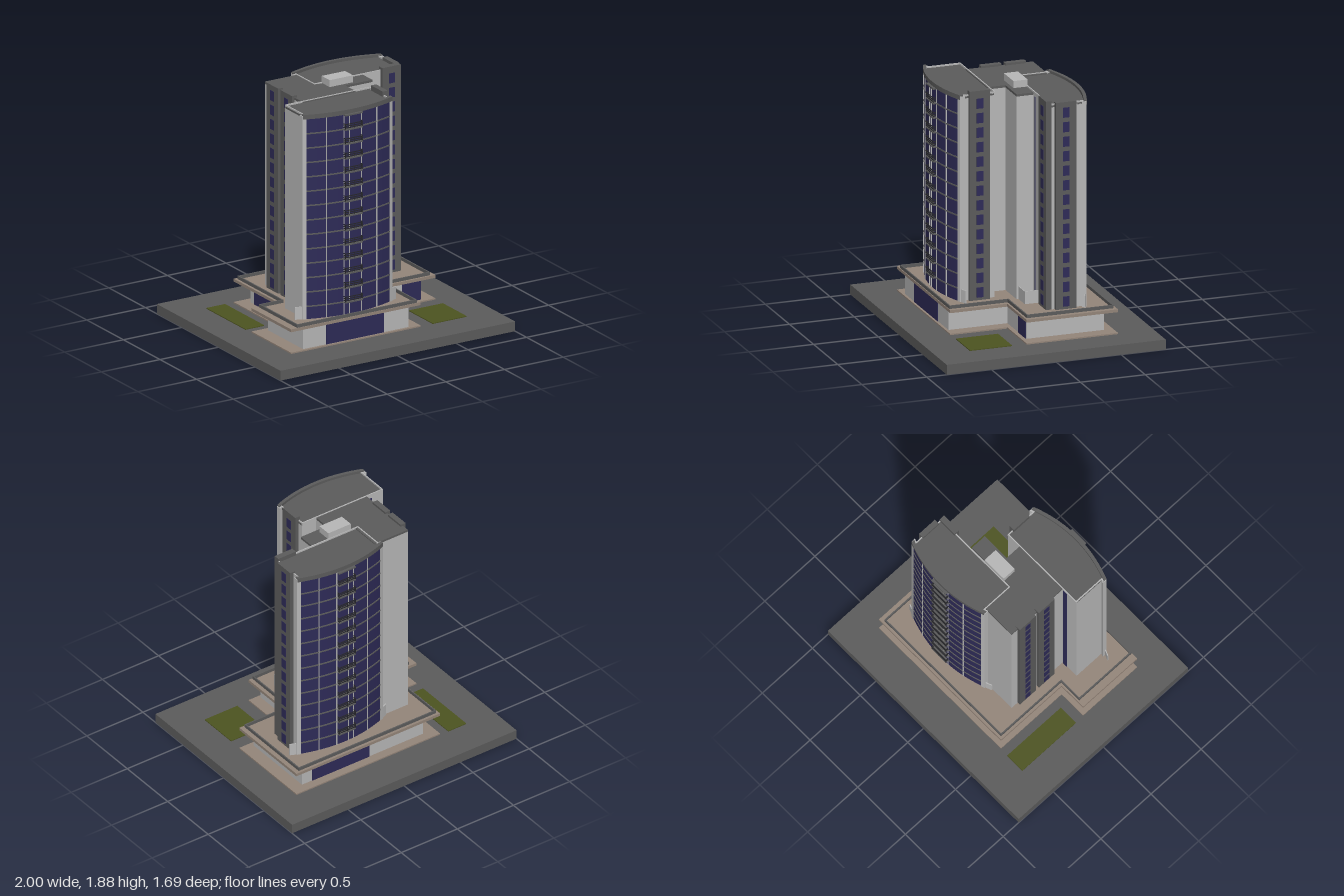
import * as THREE from 'three';

const paint = (name, color) => {
  const m = new THREE.MeshStandardMaterial({ color });
  m.name = name;
  return m;
};

export function createModel() {
  const grey = paint('dark grey', 0x5c5c5c);
  const light = paint('light grey', 0xb8b8b8);
  const glass = paint('navy glass', 0x2e2b58);
  const beige = paint('beige stone', 0x95867a);
  const green = paint('grass green', 0x4d5420);
  const black = paint('railing black', 0x26262a);

  const model = new THREE.Group();
  model.name = 'towerBlock';

  // Box given by its minimum and maximum corners
  const box = (parent, name, mat, x0, x1, y0, y1, z0, z1) => {
    const mesh = new THREE.Mesh(new THREE.BoxGeometry(x1 - x0, y1 - y0, z1 - z0), mat);
    mesh.position.set((x0 + x1) / 2, (y0 + y1) / 2, (z0 + z1) / 2);
    mesh.name = name;
    parent.add(mesh);
    return mesh;
  };
  // Plan outline of [x, z] points raised from y0 to y1
  const prism = (parent, name, mat, pts, y0, y1) => {
    const shape = new THREE.Shape(pts.map(([x, z]) => new THREE.Vector2(x, -z)));
    const geo = new THREE.ExtrudeGeometry(shape, { depth: y1 - y0, bevelEnabled: false });
    geo.rotateX(-Math.PI / 2).translate(0, y0, 0);
    const mesh = new THREE.Mesh(geo, mat);
    mesh.name = name;
    parent.add(mesh);
    return mesh;
  };

  // Ground and lawns
  box(model, 'groundSlab', grey, -1, 1, 0, 0.075, -0.845, 0.845);
  box(model, 'lawnLeft', green, -0.75, -0.59, 0.075, 0.081, -0.57, -0.035);
  box(model, 'lawnRight', green, 0.465, 0.755, 0.075, 0.081, 0.25, 0.575);

  // Podium: pavement, walls, roof slab
  const footprint = [[-0.52, -0.565], [0.76, -0.565], [0.76, 0.14], [0.36, 0.14],
    [0.36, 0.58], [-0.745, 0.58], [-0.745, 0.04], [-0.52, 0.04]];
  const walls = [[-0.42, -0.495], [0.66, -0.495], [0.66, 0.105], [0.27, 0.105],
    [0.27, 0.56], [-0.63, 0.56], [-0.63, 0.08], [-0.42, 0.08]];
  const rim = [[-0.495, -0.54], [0.72, -0.54], [0.72, 0.12], [0.325, 0.12],
    [0.325, 0.57], [-0.685, 0.57], [-0.685, 0.06], [-0.495, 0.06]];
  prism(model, 'pavement', beige, footprint, 0.075, 0.085);
  prism(model, 'podiumWalls', light, walls, 0.085, 0.242);
  prism(model, 'podiumRoof', beige, footprint, 0.242, 0.264);
  rim.forEach(([x, z], i) => {
    const [u, w] = rim[(i + 1) % rim.length];
    const t = 0.005;
    box(model, 'podiumParapet', grey, Math.min(x, u) - t, Math.max(x, u) + t, 0.264, 0.288,
      Math.min(z, w) - t, Math.max(z, w) + t);
  });
  box(model, 'podiumWindowFront', glass, -0.435, 0.055, 0.085, 0.242, 0.558, 0.564);
  box(model, 'podiumWindowEntry', glass, 0.495, 0.656, 0.085, 0.242, 0.103, 0.109);
  box(model, 'podiumWindowBack', glass, 0.06, 0.57, 0.085, 0.242, -0.499, -0.493);
  box(model, 'podiumWindowSide', glass, -0.424, -0.418, 0.085, 0.242, -0.44, -0.12);

  // Central core
  const base = 0.264, floorH = 0.1105, firstFloor = 0.362;
  const core = [[-0.395, -0.34], [-0.1, -0.34], [-0.1, -0.09], [0.285, -0.09],
    [0.285, 0.04], [0.055, 0.04], [0.055, 0.18], [-0.395, 0.18]];
  prism(model, 'core', light, core, base, 1.805);
  prism(model, 'coreRoof', grey, core, 1.805, 1.822);
  box(model, 'liftHouse', light, -0.06, 0.14, 1.822, 1.875, -0.1, 0.01);

  // Curved facade line of a wing, in the wing's own frame
  const arcZ = (x) => 0.478 - 0.5 * x * x;
  const arc = (x0, x1, off, n = 18) => Array.from({ length: n + 1 }, (_, i) => {
    const x = x0 + ((x1 - x0) * i) / n;
    return [x, arcZ(x) + off];
  });
  const strip = (x0, x1, inner, outer) => [...arc(x0, x1, outer), ...arc(x0, x1, inner).reverse()];

  const makeWing = (name, cx, turn) => {
    const wing = new THREE.Group();
    wing.name = name;
    wing.position.set(cx, 0, 0.035);
    wing.rotation.y = turn;
    model.add(wing);
    const plan = [...arc(-0.36, 0.36, -0.008), [0.36, 0.135], [-0.36, 0.135]];
    prism(wing, 'wingBody', light, plan, base, 1.8);
    prism(wing, 'wingRoof', grey, plan, 1.8, 1.815);
    prism(wing, 'curtainWall', glass, strip(-0.355, 0.355, -0.01, 0), base, 1.8);
    prism(wing, 'roofParapet', grey, strip(-0.38, 0.38, -0.018, 0.008), 1.8, 1.835);
    box(wing, 'innerParapet', light, -0.36, 0.36, 1.8, 1.827, 0.132, 0.14);
    for (const s of [-1, 1]) {
      // Corner fins and low terrace walls
      const a = 0.355 * s, b = 0.385 * s, c = 0.43 * s;
      prism(wing, 'cornerFin', light, strip(Math.min(a, b), Math.max(a, b), -0.03, 0.006), base, 1.825);
      prism(wing, 'terraceWall', light, strip(Math.min(b, c), Math.max(b, c), -0.008, 0), base, 0.36);
      box(wing, 'endParapet', light, s * 0.356 - 0.004, s * 0.356 + 0.004, 1.8, 1.827, 0.135, 0.4);
    }
    // Floor bands
    for (let i = 0; i < 13; i++) {
      const y = firstFloor + i * floorH;
      prism(wing, 'floorBand', grey, strip(-0.355, 0.355, -0.005, 0.005), y - 0.005, y + 0.005);
    }
    // Mullions, mirrored for the turned wing by the sign of its facing
    const f = turn ? -1 : 1;
    for (const x of [-0.21, -0.072, -0.026, 0.078, 0.22]) {
      const z = arcZ(x);
      box(wing, 'mullion', light, f * x - 0.003, f * x + 0.003, base, 1.8, z - 0.006, z + 0.006);
    }
    // Balconies with three-bar railings
    for (let i = 0; i <= 13; i++) {
      const y = firstFloor + i * floorH;
      box(wing, 'balconySlab', grey, -0.075, 0.075, y - 0.005, y + 0.005, 0.465, 0.505);
      if (i === 13) break;
      for (const h of [0.014, 0.028, 0.042]) {
        box(wing, 'rail', black, -0.075, 0.075, y + h - 0.003, y + h + 0.003, 0.499, 0.504);
        for (const s of [-1, 1])
          box(wing, 'sideRail', black, s * 0.073 - 0.002, s * 0.073 + 0.002, y + h - 0.003, y + h + 0.003, 0.47, 0.504);
      }
      for (const x of [-0.073, 0, 0.073])
        box(wing, 'railPost', black, x - 0.002, x + 0.002, y, y + 0.045, 0.499, 0.504);
    }
  };
  makeWing('frontWing', -0.18, 0);
  makeWing('backWing', 0.235, Math.PI);

  // Dark bays with a column of windows on the outer face
  const makeBay = (name, x0, x1, z0, z1, top, face) => {
    box(model, name, grey, x0, x1, base, top, z0, z1);
    const cx = (x0 + x1) / 2, cz = (z0 + z1) / 2, t = 0.003, w = 0.025;
    for (let i = 0; i < 14; i++) {
      const y = 0.322 + i * floorH;
      if (face === 'z') box(model, 'bayWindow', glass, cx - w, cx + w, y - 0.038, y + 0.038, z1 - t, z1 + t);
      else {
        const x = face === '+x' ? x1 : x0;
        box(model, 'bayWindow', glass, x - t, x + t, y - 0.038, y + 0.038, cz - w, cz + w);
      }
    }
  };
  makeBay('frontWingBay', 0.165, 0.208, 0.215, 0.373, 1.855, '+x');
  makeBay('backWingBay', 0.58, 0.622, -0.297, -0.138, 1.838, '+x');
  makeBay('backWingFrontBay', 0.44, 0.597, -0.115, -0.07, 1.848, 'z');
  makeBay('coreBayBack', -0.418, -0.375, -0.28, -0.12, 1.838, '-x');
  makeBay('coreBayFront', -0.418, -0.375, -0.09, 0.068, 1.838, '-x');

  // Stair windows beside the core
  box(model, 'stairWindowFront', glass, 0.286, 0.303, base, 1.79, -0.102, -0.097);
  box(model, 'stairWindowBack', glass, -0.44, -0.4, base, 1.79, 0.167, 0.172);

  // Low open-topped enclosure on the terrace
  box(model, 'enclosureWall', light, 0.285, 0.415, base, 0.36, 0.019, 0.025);
  box(model, 'enclosureWall', light, 0.409, 0.415, base, 0.36, -0.1, 0.02);

  return model;
}
